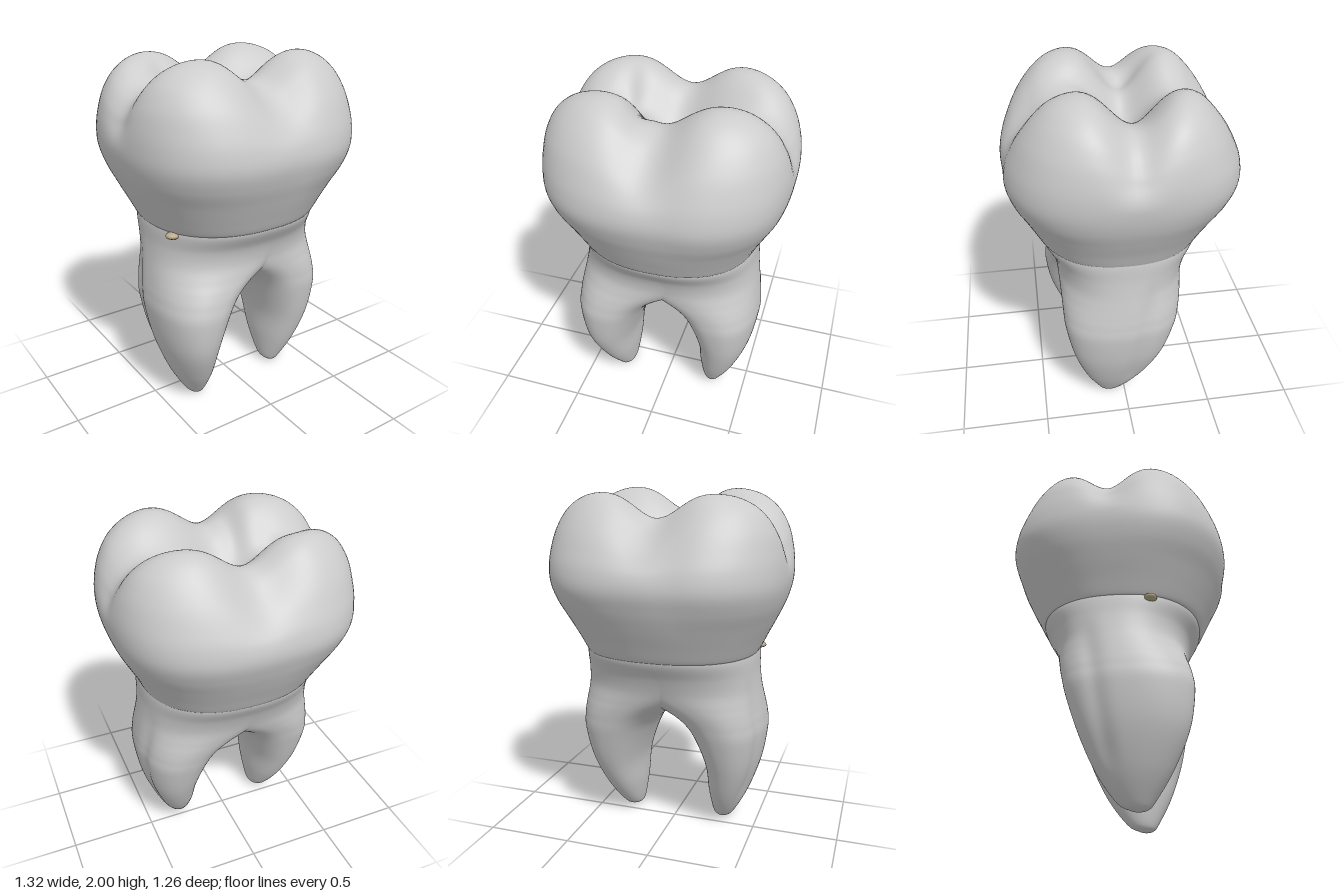
import * as THREE from 'three';

const enamel = new THREE.MeshStandardMaterial({ color: 0xcccccc, roughness: 0.6 });
const chipMaterial = new THREE.MeshStandardMaterial({ color: 0xb8aa88 });
const bell = (v, centre, width) => Math.exp(-(((v - centre) / width) ** 2));
const { smoothstep } = THREE.MathUtils;

// Smooth interpolation between four neighbouring section rows
function blendRows(rows, i, t) {
  const at = (k) => rows[Math.min(Math.max(k, 0), rows.length - 1)];
  const [a, b, c, d] = [at(i - 1), at(i), at(i + 1), at(i + 2)];
  return b.map((_, k) => b[k] + 0.5 * t * (c[k] - a[k]
    + t * (2 * a[k] - 5 * b[k] + 4 * c[k] - d[k] + t * (3 * (b[k] - c[k]) + d[k] - a[k]))));
}

// Closed loft through rows [y, xMin, xMax, zMin, zMax, squareness], listed from bottom to top
function loft(rows, reshape, segments = 112, steps = 8) {
  const positions = [], index = [];
  const rings = (rows.length - 1) * steps + 1;
  for (let r = 0; r < rings; r++) {
    const i = Math.min(Math.floor(r / steps), rows.length - 2);
    const [y, x0, x1, z0, z1, n] = blendRows(rows, i, r / steps - i);
    for (let j = 0; j < segments; j++) {
      const angle = (j / segments) * Math.PI * 2;
      const c = Math.cos(angle), s = Math.sin(angle);
      const k = (Math.abs(c) ** n + Math.abs(s) ** n) ** (-1 / n);
      const p = new THREE.Vector3((x0 + x1) / 2 + (x1 - x0) / 2 * c * k, y,
        (z0 + z1) / 2 + (z1 - z0) / 2 * s * k);
      reshape(p);
      positions.push(p.x, p.y, p.z);
      if (r < rings - 1) {
        const a = r * segments + j, b = r * segments + (j + 1) % segments;
        index.push(a, a + segments, b, b, a + segments, b + segments);
      }
    }
  }
  const geometry = new THREE.BufferGeometry();
  geometry.setAttribute('position', new THREE.Float32BufferAttribute(positions, 3));
  geometry.setIndex(index);
  geometry.computeVertexNormals();
  return geometry;
}

// Crown: a bulging dome whose top is pressed into four cusps, grooves and a central pit
function crownGeometry() {
  const rows = [
    [1.105, -0.49, 0.49, -0.44, 0.45, 2.35],
    [1.12, -0.503, 0.5, -0.458, 0.472, 2.35],
    [1.2, -0.542, 0.535, -0.5, 0.512, 2.4],
    [1.3, -0.592, 0.585, -0.553, 0.56, 2.45],
    [1.4, -0.635, 0.63, -0.6, 0.605, 2.6],
    [1.5, -0.66, 0.656, -0.632, 0.632, 2.7],
    [1.6, -0.662, 0.662, -0.622, 0.622, 2.75],
    [1.7, -0.65, 0.65, -0.583, 0.588, 2.8],
    [1.8, -0.623, 0.62, -0.53, 0.538, 2.9],
    [1.9, -0.567, 0.565, -0.458, 0.465, 3],
    [1.975, -0.475, 0.48, -0.385, 0.385, 3],
    [2.02, -0.34, 0.37, -0.285, 0.275, 2.8],
    [2.035, -0.17, 0.19, -0.14, 0.135, 2.4],
    [2.035, 0, 0, 0, 0, 2],
  ];
  return loft(rows, (p) => {
    const { x, y, z } = p;
    const top = smoothstep(y, 1.5, 1.97);
    const side = smoothstep(y, 1.2, 1.6);
    // Furrows running down between the cusps
    p.z -= Math.sign(z) * 0.014 * side * bell(x, z > 0 ? 0.1 : -0.15, 0.12) * Math.min(1, Math.abs(z) * 3);
    p.x -= Math.sign(x) * 0.025 * smoothstep(y, 1.55, 1.75) * bell(z, 0, 0.1) * Math.min(1, Math.abs(x) * 3);
    // Biting surface
    const cross = 0.15 * bell(x, 0, 0.18) + 0.125 * bell(z, -0.02, 0.15);
    const pit = 0.1 * Math.exp(-((x / 0.42) ** 4) - (((z + 0.07) / 0.16) ** 2));
    const fissure = 0.035 * bell(x, -0.12, 0.05) * bell(z, 0.16, 0.14)
      + 0.035 * bell(x, -0.29, 0.06) * bell(z, -0.08, 0.13);
    p.y -= top * (cross + pit + fissure);
  });
}

// Root: tapers up from its tip and widens past the middle, so the pair merge into one trunk
function rootGeometry(side) {
  // [y, inner, outer, back, front, squareness]
  const rows = [
    [0, 0.29, 0.29, 0.1, 0.1, 2],
    [0.01, 0.262, 0.325, 0.06, 0.14, 2],
    [0.05, 0.232, 0.362, -0.01, 0.172, 2],
    [0.2, 0.208, 0.442, -0.125, 0.245, 2.1],
    [0.4, 0.19, 0.512, -0.225, 0.31, 2.2],
    [0.6, 0.12, 0.545, -0.29, 0.35, 2.3],
    [0.7, 0.045, 0.542, -0.312, 0.357, 2.3],
    [0.77, -0.06, 0.533, -0.326, 0.36, 2.3],
    [0.83, -0.2, 0.524, -0.337, 0.363, 2.3],
    [0.91, -0.38, 0.512, -0.355, 0.372, 2.3],
    [1.0, -0.47, 0.502, -0.39, 0.4, 2.35],
    [1.1, -0.496, 0.497, -0.445, 0.458, 2.35],
    [1.18, -0.48, 0.48, -0.44, 0.45, 2.35],
  ];
  const sided = rows.map(([y, inner, outer, back, front, n]) => {
    // The right root sits a little further forward
    const shift = side < 0 ? 0.08 * bell(y, 0.45, 0.42) * (1 - smoothstep(y, 0.7, 1.05)) : 0;
    return [y, ...(side > 0 ? [inner, outer] : [-outer, -inner]), back + shift * 0.5, front + shift, n];
  });
  return loft(sided, (p) => {
    // Long shallow groove on the outer face
    const reach = smoothstep(p.y, 0.08, 0.3) * (1 - smoothstep(p.y, 0.75, 1.05));
    if (p.x * side > 0.3) p.x -= side * 0.016 * reach * bell(p.z, 0.02 - 0.16 * p.y, 0.05);
  });
}

export function createModel() {
  const model = new THREE.Group();
  model.name = 'molarTooth';
  const add = (name, geometry, material = enamel) => {
    const mesh = new THREE.Mesh(geometry, material);
    mesh.name = name;
    model.add(mesh);
    return mesh;
  };

  add('crown', crownGeometry());
  add('leftRoot', rootGeometry(1));
  add('rightRoot', rootGeometry(-1));

  // Small rough deposits at the neck and in the fork
  const chip = new THREE.SphereGeometry(1, 12, 8);
  const neckChip = add('neckDeposit', chip, chipMaterial);
  neckChip.position.set(-0.46, 1.095, 0.21);
  neckChip.scale.set(0.045, 0.02, 0.035);
  const forkChip = add('forkDeposit', chip, chipMaterial);
  forkChip.position.set(0.005, 0.745, 0.02);
  forkChip.scale.set(0.014, 0.03, 0.05);

  return model;
}
